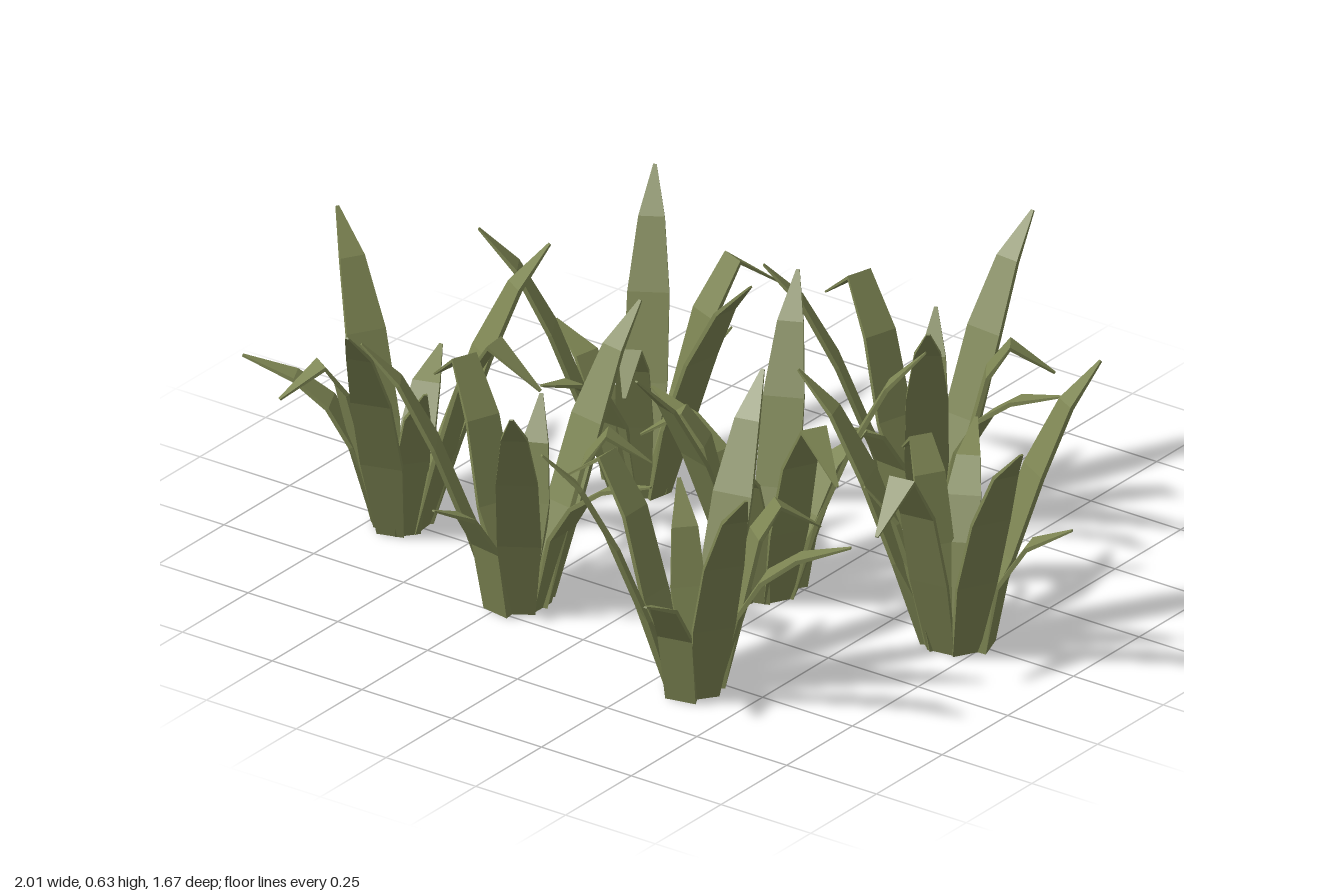
import * as THREE from 'three';

// Blade profiles: [distance from clump centre, height, width] from root to tip
const TALL = [[0.068, 0, 0.065], [0.125, 0.2, 0.1], [0.2, 0.39, 0.095], [0.28, 0.54, 0.06], [0.365, 0.63, 0.008]];
const DROOPING = [[0.06, 0, 0.07], [0.115, 0.2, 0.095], [0.17, 0.39, 0.085], [0.245, 0.51, 0.065], [0.365, 0.42, 0.008]];
const SMALL_DROOPING = [[0.058, 0, 0.065], [0.1, 0.2, 0.085], [0.14, 0.36, 0.075], [0.19, 0.43, 0.055], [0.29, 0.36, 0.008]];
const SPREADING = [[0.055, 0, 0.065], [0.105, 0.2, 0.09], [0.16, 0.29, 0.08], [0.24, 0.35, 0.055], [0.36, 0.39, 0.008]];
const LOW = [[0.088, 0, 0.075], [0.115, 0.17, 0.085], [0.18, 0.27, 0.065], [0.28, 0.32, 0.008]];
const UPRIGHT = [[0.065, 0, 0.06], [0.1, 0.2, 0.08], [0.14, 0.33, 0.06], [0.21, 0.42, 0.008]];

// Blades around one clump: [name, profile, angle from +x towards +z in degrees]
const BLADES = [
  ['uprightBlade', UPRIGHT, 240],
  ['tallBladeBack', TALL, 275],
  ['smallDroopingBlade', SMALL_DROOPING, 325],
  ['spreadingBlade', SPREADING, 356],
  ['tallBladeFront', TALL, 53],
  ['lowBlade', LOW, 95],
  ['tallBladeSide', TALL, 143],
  ['droopingBlade', DROOPING, 196],
];

// Clumps: [x, z, turn in degrees]
const CLUMPS = [
  [0.245, -0.47, 0],
  [-0.36, -0.21, 96],
  [0.185, 0.055, 192],
  [-0.225, 0.42, 5],
  [0.68, 0.02, -114],
  [-0.685, 0.26, 158],
  [0.345, 0.54, -17],
];

// Solid blade growing along +x: thick wedge at the root, thin leaf above
function bladeGeometry(profile) {
  const half = 0.005;
  const rootInner = 0.026;
  const last = profile.length - 1;
  const sections = profile.map(([r, h, w], i) => {
    if (i === 0) {
      return [[rootInner, h, 0.02], [rootInner, h, -0.02], [r, h, -w / 2], [r, h, w / 2]];
    }
    const a = profile[i - 1], b = profile[Math.min(i + 1, last)];
    const len = Math.hypot(b[0] - a[0], b[1] - a[1]);
    const t = i === last ? half * 0.4 : half;
    const nx = -(b[1] - a[1]) / len * t;
    const ny = (b[0] - a[0]) / len * t;
    return [
      [r + nx, h + ny, w / 2], [r + nx, h + ny, -w / 2],
      [r - nx, h - ny, -w / 2], [r - nx, h - ny, w / 2],
    ];
  });
  const pos = [];
  const quad = (a, b, c, d) => pos.push(...a, ...b, ...c, ...a, ...c, ...d);
  for (let i = 0; i < last; i++) {
    const s = sections[i], e = sections[i + 1];
    for (let k = 0; k < 4; k++) {
      const n = (k + 1) % 4;
      quad(s[k], s[n], e[n], e[k]);
    }
  }
  const [root, tip] = [sections[0], sections[last]];
  quad(root[3], root[2], root[1], root[0]);
  quad(tip[0], tip[1], tip[2], tip[3]);
  const geometry = new THREE.BufferGeometry();
  geometry.setAttribute('position', new THREE.Float32BufferAttribute(pos, 3));
  geometry.computeVertexNormals();
  return geometry;
}

export function createModel() {
  const model = new THREE.Group();
  model.name = 'grassPatch';
  const green = new THREE.MeshStandardMaterial({ color: 0x7c8452, flatShading: true, side: THREE.DoubleSide });
  green.name = 'olive green';
  const blades = BLADES.map(([name, profile, angle]) => ({ name, angle, geometry: bladeGeometry(profile) }));

  CLUMPS.forEach(([x, z, turn], i) => {
    const clump = new THREE.Group();
    clump.name = `grassClump${i + 1}`;
    clump.position.set(x, 0, z);
    clump.rotation.y = -THREE.MathUtils.degToRad(turn);
    for (const { name, angle, geometry } of blades) {
      const blade = new THREE.Mesh(geometry, green);
      blade.name = name;
      blade.rotation.y = -THREE.MathUtils.degToRad(angle);
      clump.add(blade);
    }
    model.add(clump);
  });
  return model;
}
